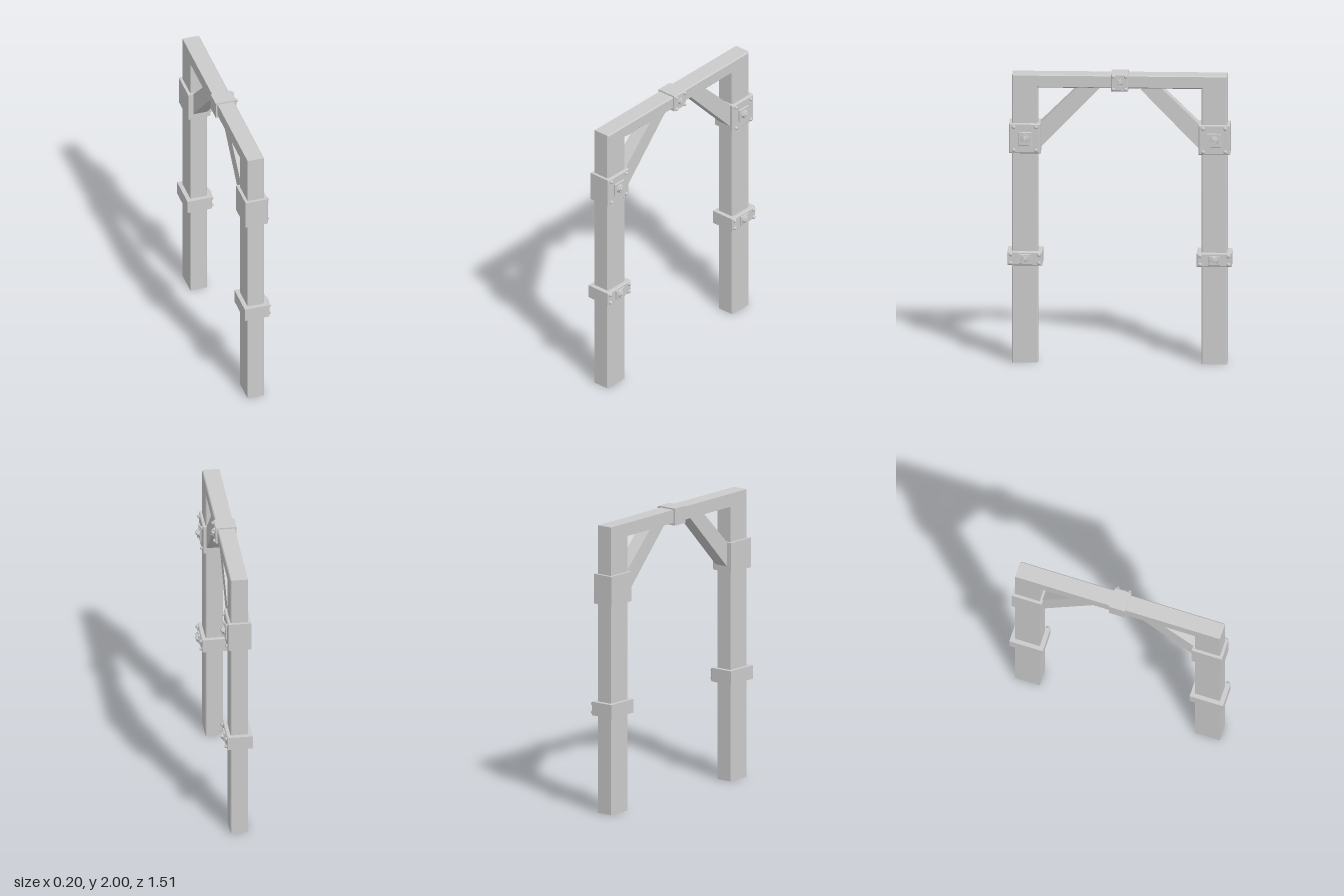
import * as THREE from 'three';

const material = new THREE.MeshStandardMaterial({ color: 0xcccccc, flatShading: true, side: THREE.DoubleSide });

function mesh(name, geometry) {
  const m = new THREE.Mesh(geometry, material);
  m.name = name;
  return m;
}

// Solid running along x from a side outline (u = -z, v = y), chamfered on its +x rim.
// outline(d) gives the contour inset by d; edges listed in open get no wall.
function chamferedSolid(outline, x0, x1, chamfer, open = []) {
  const loops = [[x0, 0], [x1 - chamfer, 0], [x1, chamfer]].map(([x, d]) => ({ x, pts: outline(d) }));
  const n = loops[0].pts.length;
  const pos = loops.flatMap(({ x, pts }) => pts.flatMap(([u, v]) => [x, v, -u]));
  const index = [];
  for (let k = 0; k < 2; k++) {
    for (let i = 0; i < n; i++) {
      if (open.includes(i)) continue;
      const a = k * n + i, b = k * n + (i + 1) % n;
      index.push(a, b, b + n, a, b + n, a + n);
    }
  }
  const contour = loops[0].pts.map(([u, v]) => new THREE.Vector2(u, v));
  for (const [a, b, c] of THREE.ShapeUtils.triangulateShape(contour, [])) {
    index.push(c, b, a, a + 2 * n, b + 2 * n, c + 2 * n);
  }
  const g = new THREE.BufferGeometry();
  g.setAttribute('position', new THREE.Float32BufferAttribute(pos, 3));
  g.setIndex(index);
  const flat = g.toNonIndexed();
  flat.computeVertexNormals();
  return flat;
}

const rectangle = (w, h) => (d) => [
  [-w / 2 + d, -h / 2 + d], [w / 2 - d, -h / 2 + d],
  [w / 2 - d, h / 2 - d], [-w / 2 + d, h / 2 - d],
];

// Cylinder or cone section pointing along +x, starting at x
function disc(name, x, y, z, r0, r1, length, sides) {
  const g = new THREE.CylinderGeometry(r1, r0, length, sides);
  g.rotateZ(-Math.PI / 2);
  g.translate(x + length / 2, y, z);
  return mesh(name, g);
}

// Clamp block with four rivets and a central hex bolt on its +x face
function clamp({ name, y, z, x0, x1, width, height, rivetZ, rivetY, rivetR, plate, nut, reach }) {
  const group = new THREE.Group();
  group.name = name;
  group.position.set(0, y, z);
  group.add(mesh('clampBlock', chamferedSolid(rectangle(width, height), x0, x1, 0.006)));

  for (const sz of [-1, 1]) {
    for (const sy of [-1, 1]) {
      const base = disc('rivetBase', x1 - 0.001, sy * rivetY, sz * rivetZ, rivetR, rivetR, 0.008, 8);
      const head = disc('rivetHead', x1 + 0.007, sy * rivetY, sz * rivetZ, rivetR, rivetR * 0.5, 0.007, 8);
      group.add(base, head);
    }
  }

  let x = x1 - 0.001;
  if (plate) {
    group.add(mesh('boltPlate', chamferedSolid(rectangle(plate[0], plate[1]), x, x + 0.011, 0.003)));
    x += 0.011;
  }
  const left = reach - x;
  group.add(
    disc('washer', x, 0, 0, nut * 1.15, nut * 1.1, left * 0.25, 16),
    disc('hexNut', x + left * 0.25, 0, 0, nut, nut * 0.9, left * 0.45, 6),
    disc('boltEnd', x + left * 0.7, 0, 0, nut * 0.5, nut * 0.4, left * 0.3, 10),
  );
  return group;
}

export function createModel() {
  const model = new THREE.Group();
  model.name = 'timberGateway';

  // Two posts and the lintel in one piece, hollow at the feet
  const out = 0.725, inn = 0.55, top = 1.99, under = 1.9;
  const gate = (d) => [
    [-out + d, 0], [-inn - d, 0], [-inn - d, under + d], [inn + d, under + d],
    [inn + d, 0], [out - d, 0], [out - d, top - d], [-out + d, top - d],
  ];
  model.add(mesh('postsAndLintel', chamferedSolid(gate, -0.075, 0.043, 0.007, [0, 4])));

  for (const side of [1, -1]) {
    // Diagonal brace between post and lintel
    const corners = [[0.56, 1.46], [0.13, 1.905], [0.28, 1.905], [0.56, 1.63]];
    const brace = corners.map(([z, y]) => [-z * side, y]);
    if (side < 0) brace.reverse();
    // Contour must run counter-clockwise
    const ccw = THREE.ShapeUtils.area(brace.map(([u, v]) => new THREE.Vector2(u, v))) > 0;
    const path = ccw ? brace : brace.reverse();
    model.add(mesh('diagonalBrace', chamferedSolid(() => path, -0.06, 0.038, 0)));

    model.add(clamp({
      name: 'upperPostClamp', y: 1.552, z: 0.638 * side, x0: -0.095, x1: 0.063,
      width: 0.213, height: 0.205, rivetZ: 0.075, rivetY: 0.08, rivetR: 0.013,
      plate: [0.092, 0.092], nut: 0.027, reach: 0.098,
    }));
    model.add(clamp({
      name: 'lowerPostClamp', y: 0.724, z: 0.638 * side, x0: -0.104, x1: 0.071,
      width: 0.236, height: 0.094, rivetZ: 0.096, rivetY: 0.029, rivetR: 0.013,
      plate: [0.08, 0.064], nut: 0.026, reach: 0.1,
    }));
  }

  // Clamp around the middle of the lintel
  model.add(clamp({
    name: 'lintelClamp', y: 1.941, z: 0, x0: -0.088, x1: 0.058,
    width: 0.114, height: 0.118, rivetZ: 0.042, rivetY: 0.044, rivetR: 0.012,
    plate: null, nut: 0.022, reach: 0.077,
  }));

  return model;
}
